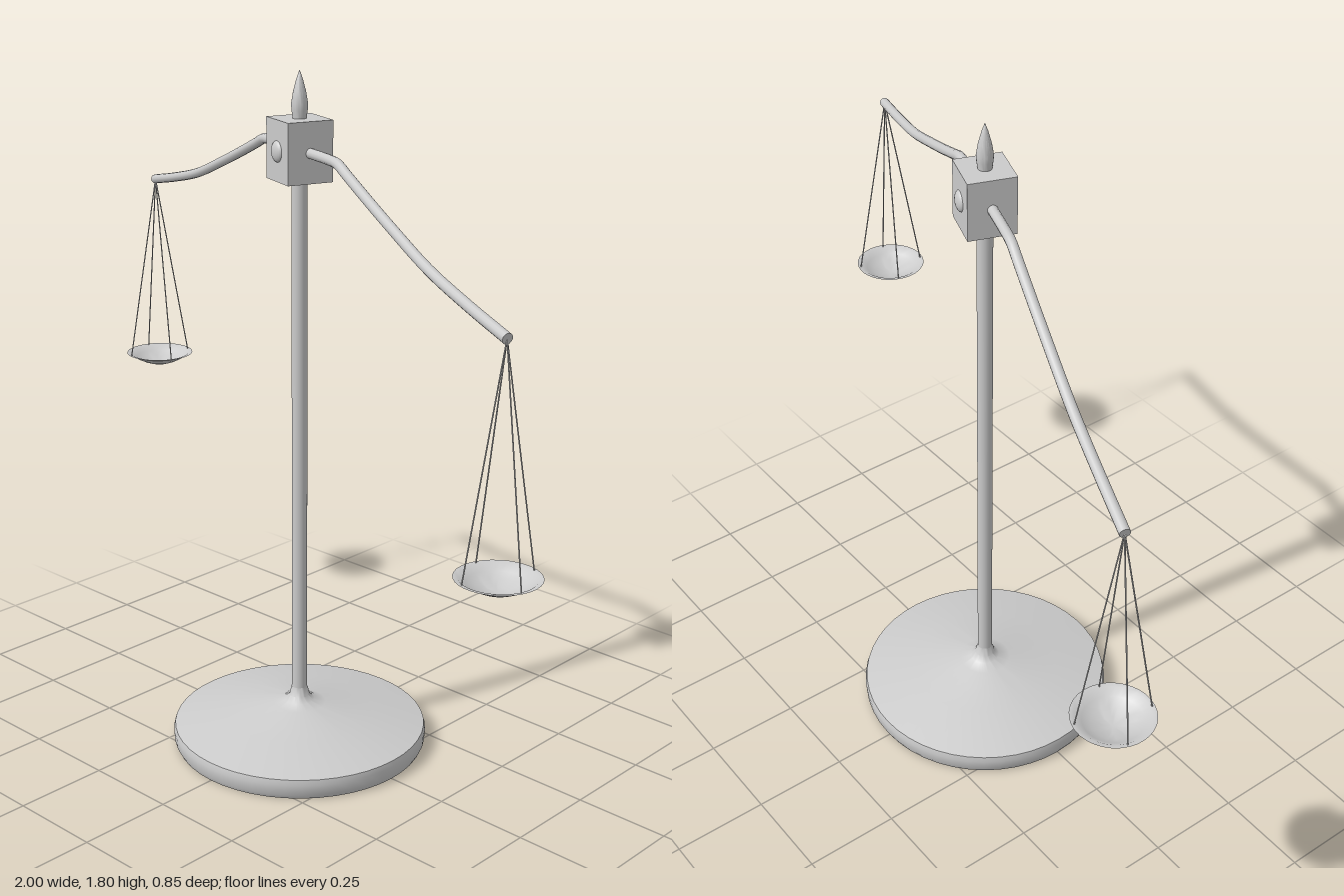
import * as THREE from 'three';
import { toCreasedNormals } from 'three/addons/utils/BufferGeometryUtils.js';

const metal = new THREE.MeshStandardMaterial({ color: 0xcccccc });
const thin = new THREE.MeshStandardMaterial({ color: 0xcccccc, side: THREE.DoubleSide });

function add(parent, name, geometry, material = metal) {
  const mesh = new THREE.Mesh(geometry, material);
  mesh.name = name;
  parent.add(mesh);
  return mesh;
}

function lathe(points, segments) {
  const geometry = new THREE.LatheGeometry(points.map(([r, y]) => new THREE.Vector2(r, y)), segments);
  return toCreasedNormals(geometry, 0.6);
}

// Straight thin rod between two points
function rod(parent, name, a, b, radius) {
  const mesh = add(parent, name, new THREE.CylinderGeometry(radius, radius, a.distanceTo(b), 6));
  mesh.position.copy(a).lerp(b, 0.5);
  mesh.quaternion.setFromUnitVectors(new THREE.Vector3(0, 1, 0), b.clone().sub(a).normalize());
}

// Arm, cords and pan of one side, built along +x
function createSide(name) {
  const side = new THREE.Group();
  side.name = name;

  // Sweeping arm
  const path = [[0.05, 1.603], [0.17, 1.603], [0.205, 1.6], [0.25, 1.582], [0.35, 1.543], [0.465, 1.5],
    [0.637, 1.44], [0.8, 1.4], [0.96, 1.367]].map(([x, y]) => new THREE.Vector3(x, y, 0));
  add(side, 'arm', new THREE.TubeGeometry(new THREE.CatmullRomCurve3(path), 48, 0.013, 12));
  const end = path[path.length - 1];
  const cap = add(side, 'armEnd', new THREE.CylinderGeometry(0.013, 0.013, 0.004, 12));
  cap.position.copy(end);
  cap.rotation.z = Math.PI / 2 - 0.2;

  // Four cords from the arm end to the rim
  for (let i = 0; i < 4; i++) {
    const a = i * Math.PI / 2;
    const foot = new THREE.Vector3(end.x + 0.091 * Math.cos(a), 0.837, 0.091 * Math.sin(a));
    rod(side, 'cord', end, foot, 0.0018);
  }

  // Shallow dish with a flat lip
  const pan = add(side, 'pan', lathe([[0, 0.803], [0.025, 0.806], [0.05, 0.815], [0.07, 0.825],
    [0.087, 0.838], [0.098, 0.839]], 32), thin);
  pan.position.x = end.x;
  return side;
}

export function createModel() {
  const model = new THREE.Group();
  model.name = 'balanceScale';

  // Round foot flowing into the column
  add(model, 'base', lathe([[0, 0], [0.332, 0], [0.338, 0.012], [0.34, 0.04], [0.336, 0.054], [0.2, 0.084],
    [0.07, 0.108], [0.04, 0.117], [0.027, 0.13], [0.021, 0.155]], 48));
  const column = add(model, 'column', new THREE.CylinderGeometry(0.02, 0.02, 1.42, 24, 1, true));
  column.position.y = 0.84;

  // Pointed finial
  add(model, 'finial', lathe([[0.016, 1.67], [0.02, 1.70], [0.021, 1.715], [0.016, 1.745],
    [0.008, 1.775], [0, 1.797]], 20));

  // Head and arms, turned about the column
  const beam = new THREE.Group();
  beam.name = 'beam';
  beam.rotation.y = -0.35;
  model.add(beam);

  const block = add(beam, 'headBlock', new THREE.BoxGeometry(0.122, 0.152, 0.122));
  block.position.y = 1.604;

  // Domed pivot studs on the front and back faces
  for (const s of [1, -1]) {
    const stud = add(beam, 'pivotStud', new THREE.SphereGeometry(0.027, 20, 12));
    stud.position.set(0, 1.603, s * 0.059);
    stud.scale.z = 0.5;
  }

  const left = createSide('leftSide');
  const right = createSide('rightSide');
  right.rotation.y = Math.PI;
  beam.add(left, right);
  return model;
}
